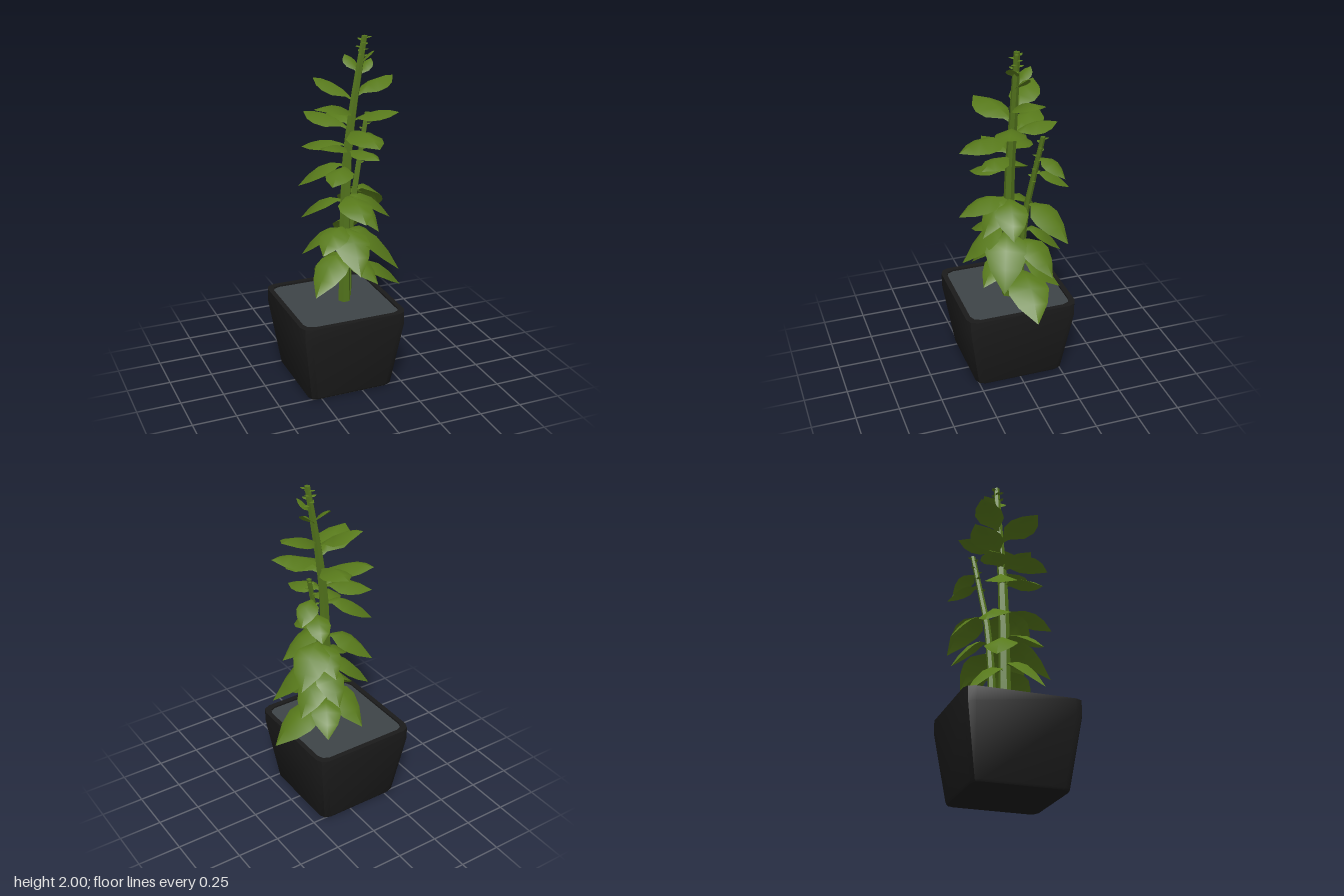
import * as THREE from 'three';
import { toCreasedNormals } from 'three/addons/utils/BufferGeometryUtils.js';

const V = (x, y, z) => new THREE.Vector3(x, y, z);

function material(name, color, doubleSided) {
  const m = new THREE.MeshStandardMaterial({ color });
  m.name = name;
  if (doubleSided) m.side = THREE.DoubleSide;
  return m;
}

// Skin a list of equal-length rings; ends may be capped with a fan
function loft(rings, closed, capStart, capEnd) {
  const n = rings[0].length, pos = [], idx = [];
  rings.forEach(r => r.forEach(p => pos.push(p.x, p.y, p.z)));
  for (let i = 0; i < rings.length - 1; i++) {
    for (let j = 0; j < (closed ? n : n - 1); j++) {
      const k = (j + 1) % n, a = i * n + j, b = i * n + k;
      idx.push(a, a + n, b, b, a + n, b + n);
    }
  }
  const last = (rings.length - 1) * n;
  for (let j = 1; j < n - 1; j++) {
    if (capStart) idx.push(0, j, j + 1);
    if (capEnd) idx.push(last, last + j + 1, last + j);
  }
  const g = new THREE.BufferGeometry();
  g.setAttribute('position', new THREE.Float32BufferAttribute(pos, 3));
  g.setIndex(idx);
  g.computeVertexNormals();
  return g;
}

// Rectangle with softened corners, centred on the pot axis
function potRing(y, hx, hz, c) {
  const ring = [];
  const signs = [[1, 1], [-1, 1], [-1, -1], [1, -1]];
  signs.forEach(([sx, sz], i) => {
    const corner = [[hx, hz - c], [hx - c * 0.3, hz - c * 0.3], [hx - c, hz]];
    if (i % 2) corner.reverse();
    corner.forEach(([x, z]) => ring.push(V(-0.065 + sx * x, y, sz * z)));
  });
  return ring;
}

// Folded leaf from base to tip: longer leaves are wider, drooping ones arch more
function leafGeometry(base, tip) {
  const dir = tip.clone().sub(base), length = dir.length();
  const width = Math.min(0.24, 0.64 * length);
  const side = V(-dir.z, 0, dir.x).normalize();
  const mid = base.clone().lerp(tip, 0.5);
  mid.y += 0.25 * length + 0.45 * Math.max(0, -dir.y);
  const curve = new THREE.QuadraticBezierCurve3(base, mid, tip);
  const profile = [[0, 0.05], [0.14, 0.25], [0.34, 0.9], [0.58, 1], [0.8, 0.72], [1, 0.01]];
  const rings = profile.map(([t, w]) => {
    const p = curve.getPoint(t), tan = curve.getTangent(t);
    const up = side.clone().cross(tan).normalize();
    if (up.y < 0) up.negate();
    const h = width * w / 2;
    return [-1, 0, 1].map(s =>
      p.clone().addScaledVector(side, s * h).addScaledVector(up, -Math.abs(s) * h * 0.4));
  });
  return loft(rings, false);
}

export function createModel() {
  const model = new THREE.Group();
  const potMat = material('black pot', 0x1b1b1b);
  const soilMat = material('grey soil', 0x3e4448);
  const stemMat = material('stem green', 0x52731c);
  const leafMat = material('leaf green', 0x587a1b, true);
  const add = (name, geo, mat, parent = model) => {
    const mesh = new THREE.Mesh(geo, mat);
    mesh.name = name;
    parent.add(mesh);
  };

  // Tapered pot with a shallow rim
  const potGeo = loft([
    potRing(0, 0.25, 0.26, 0.045), potRing(0.012, 0.256, 0.267, 0.045),
    potRing(0.4, 0.313, 0.327, 0.054), potRing(0.478, 0.313, 0.327, 0.054),
    potRing(0.478, 0.285, 0.297, 0.05), potRing(0.46, 0.285, 0.297, 0.05),
  ], true, true, false);
  add('pot', toCreasedNormals(potGeo, 0.6), potMat);
  const soilGeo = loft([potRing(0.455, 0.285, 0.297, 0.05), potRing(0.467, 0.285, 0.297, 0.05)],
    true, false, true);
  add('soil', toCreasedNormals(soilGeo, 0.6), soilMat);

  // Stems: tapered hexagonal tubes
  const mainPath = new THREE.CatmullRomCurve3([V(-0.008, 0.44, 0.012), V(-0.005, 0.9, 0.01),
    V(0.01, 1.3, 0.005), V(0.04, 1.55, 0), V(0.08, 1.8, 0), V(0.112, 1.995, 0.003)]);
  const sidePath = new THREE.CatmullRomCurve3([V(0.035, 0.44, -0.045), V(0.045, 0.75, -0.05),
    V(0.08, 1.05, -0.065), V(0.125, 1.27, -0.09), V(0.185, 1.535, -0.12)]);
  function stem(name, path, r0, r1) {
    const rings = [];
    for (let i = 0; i <= 10; i++) {
      const p = path.getPoint(i / 10), r = THREE.MathUtils.lerp(r0, r1, i / 10);
      rings.push(Array.from({ length: 6 }, (_, j) => {
        const a = j * Math.PI / 3;
        return V(p.x + r * Math.cos(a), p.y, p.z + r * Math.sin(a));
      }));
    }
    add(name, toCreasedNormals(loft(rings, true, true, true), 0.7), stemMat);
  }
  stem('mainStem', mainPath, 0.036, 0.017);
  stem('sideStem', sidePath, 0.024, 0.014);

  // Point on a stem at a given height
  function atHeight(path, y) {
    let lo = 0, hi = 1;
    for (let i = 0; i < 20; i++) {
      const m = (lo + hi) / 2;
      if (path.getPoint(m).y < y) lo = m; else hi = m;
    }
    return path.getPoint(lo);
  }

  // Leaves: height on the stem, then the tip
  const leaves = new THREE.Group();
  leaves.name = 'leaves';
  model.add(leaves);
  const grow = (path, rows) => rows.forEach(([y, ...tip]) =>
    add('leaf', leafGeometry(atHeight(path, y), V(...tip)), leafMat, leaves));
  // upper crown
  grow(mainPath, [
    [1.84, 0.15, 1.92, 0.05], [1.79, 0.04, 1.88, -0.1], [1.77, 0.17, 1.86, -0.04],
    [1.66, 0.31, 1.75, -0.06], [1.64, -0.12, 1.75, -0.17], [1.57, -0.22, 1.65, 0.14],
    [1.53, 0.28, 1.58, 0.1], [1.48, -0.16, 1.55, -0.22], [1.5, 0.03, 1.54, -0.26],
    [1.47, 0.07, 1.45, 0.31], [1.39, -0.2, 1.37, -0.15], [1.37, -0.18, 1.42, 0.11],
  ]);
  // drooping lower leaves
  grow(mainPath, [
    [1.36, 0.12, 1.35, 0.2], [1.28, -0.24, 1.16, -0.1], [1.27, -0.15, 1.23, 0.19],
    [1.1, 0, 1.03, 0.3], [1.1, 0.12, 0.94, 0.2], [1.1, 0.25, 0.96, 0.06],
    [1.07, -0.2, 0.94, -0.17], [0.91, -0.02, 0.72, 0.28], [0.9, -0.22, 0.74, -0.11],
    [0.92, -0.2, 0.83, 0.17], [0.9, 0.28, 0.66, 0.13], [0.76, -0.24, 0.58, 0.16],
    [0.73, -0.09, 0.55, -0.24], [0.74, 0.12, 0.62, 0.2],
  ]);
  grow(sidePath, [
    [1.4, 0.29, 1.32, -0.21], [1.3, 0.2, 1.22, -0.27], [1.1, 0.31, 0.93, -0.23],
    [1.08, 0.11, 0.96, -0.27], [0.92, 0.09, 0.77, -0.27], [0.86, 0.27, 0.7, -0.16],
    [0.65, 0.37, 0.48, -0.04], [0.7, 0.15, 0.56, -0.25],
  ]);

  // Tiny buds spiralling round the stem ends
  function buds(path, from, to, count, size) {
    for (let i = 0; i < count; i++) {
      const b = atHeight(path, from + (to - from) * i / (count - 1)), a = i * 2.4;
      const tip = V(b.x + size * Math.cos(a), b.y + 0.01, b.z + size * Math.sin(a));
      add('bud', leafGeometry(b, tip), leafMat, leaves);
    }
  }
  buds(mainPath, 1.88, 1.98, 9, 0.042);
  buds(sidePath, 1.25, 1.52, 11, 0.034);

  return model;
}
